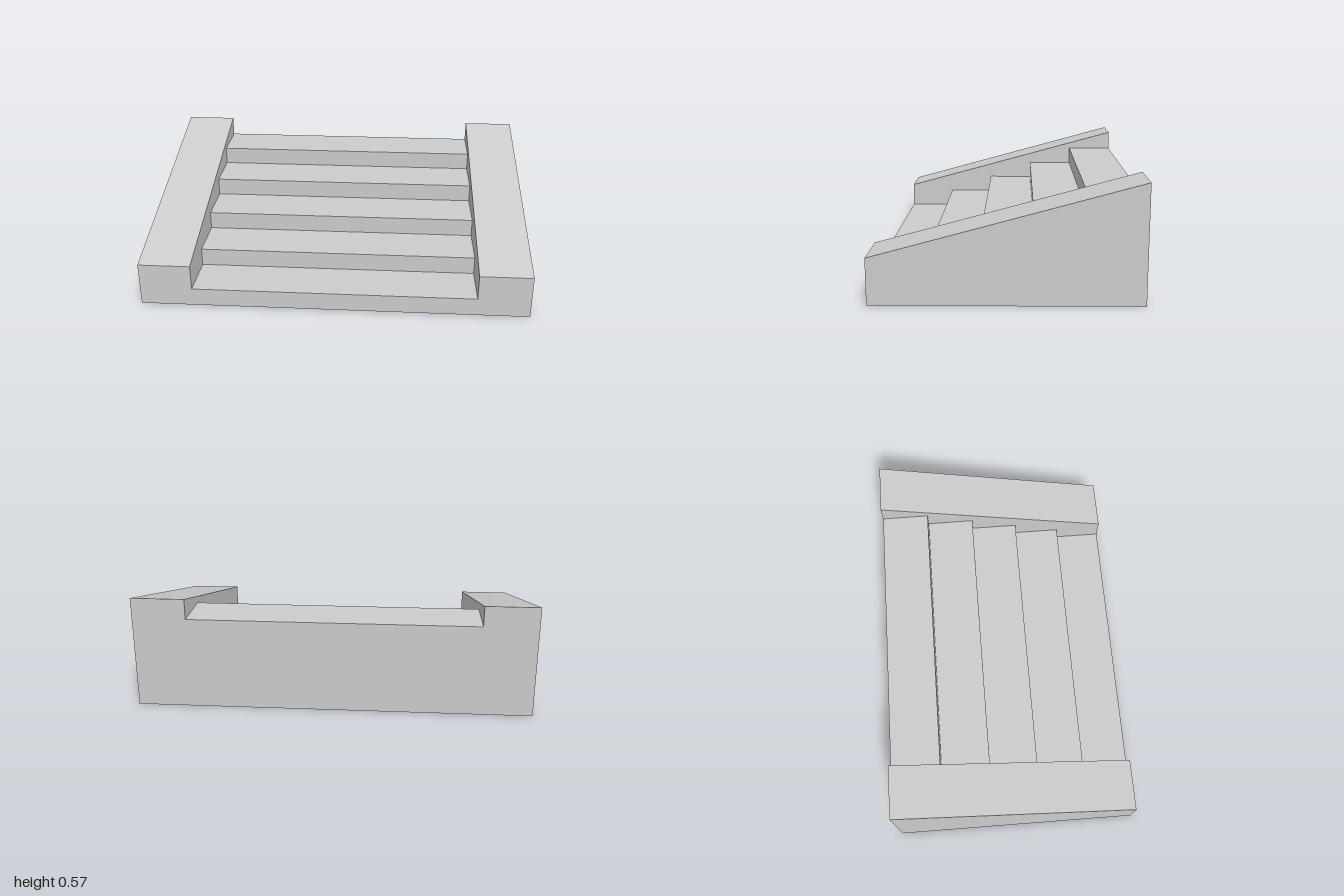
import * as THREE from 'three';

const HALF_DEPTH = 0.64;
const HALF_WIDTH = 1;
const INNER = 0.73; // half width of the stair flight
const STEPS = 5;
const STAIR_HEIGHT = 0.47;
const WALL_FRONT = 0.225;
const WALL_BACK = 0.575;

// Extrudes a side profile of [z, y] points across the width from x0 to x1
function extrudeAcross(name, points, x0, x1, material) {
  const shape = new THREE.Shape(points.map(([z, y]) => new THREE.Vector2(z, y)));
  const geometry = new THREE.ExtrudeGeometry(shape, { depth: x1 - x0, bevelEnabled: false });
  geometry.rotateY(-Math.PI / 2);
  geometry.translate(x1, 0, 0);
  const mesh = new THREE.Mesh(geometry, material);
  mesh.name = name;
  return mesh;
}

export function createModel() {
  const group = new THREE.Group();
  group.name = 'staircase';
  const material = new THREE.MeshStandardMaterial({ color: 0xcccccc, flatShading: true });

  // Flight of steps rising toward the back
  const rise = STAIR_HEIGHT / STEPS;
  const tread = (2 * HALF_DEPTH) / STEPS;
  const stairs = [[-HALF_DEPTH, 0], [HALF_DEPTH, 0]];
  for (let i = 0; i < STEPS; i++) {
    const y = (i + 1) * rise;
    stairs.push([HALF_DEPTH - i * tread, y], [HALF_DEPTH - (i + 1) * tread, y]);
  }
  group.add(extrudeAcross('steps', stairs, -INNER, INNER, material));

  // Sloping side walls
  const wall = [
    [-HALF_DEPTH, 0], [HALF_DEPTH, 0],
    [HALF_DEPTH, WALL_FRONT], [-HALF_DEPTH, WALL_BACK],
  ];
  group.add(extrudeAcross('leftWall', wall, INNER, HALF_WIDTH, material));
  group.add(extrudeAcross('rightWall', wall, -HALF_WIDTH, -INNER, material));

  return group;
}
